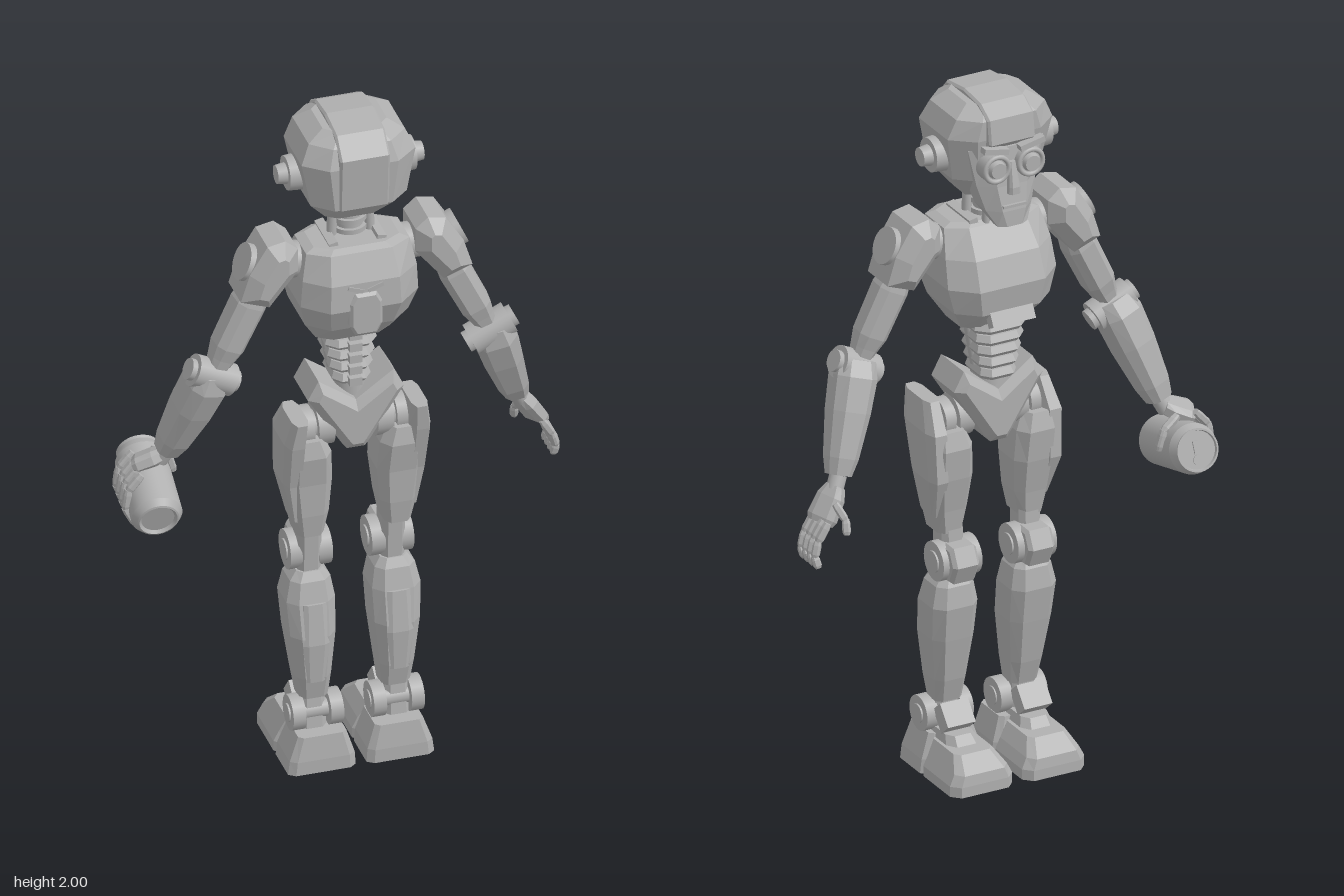
import * as THREE from 'three';

const metal = new THREE.MeshStandardMaterial({ color: 0xb0b0b0 });
metal.name = 'plain grey';
const V = (x, y, z) => new THREE.Vector3(x, y, z);
const UP = V(0, 1, 0);

function add(parent, name, geo) {
  const m = new THREE.Mesh(geo, metal);
  m.name = name;
  parent.add(m);
  return m;
}
function flat(geo) {
  const g = geo.index ? geo.toNonIndexed() : geo;
  g.computeVertexNormals();
  return g;
}
// Chamfered-box cross-sections [y, x0, x1, z0, z1], listed from low to high
function loft(sections, c = 0.4) {
  const pos = [], idx = [], n = 8;
  for (const [y, x0, x1, z0, z1] of sections) {
    const a = c * (x1 - x0) / 2, b = c * (z1 - z0) / 2;
    for (const [x, z] of [[x1, z1 - b], [x1, z0 + b], [x1 - a, z0], [x0 + a, z0],
      [x0, z0 + b], [x0, z1 - b], [x0 + a, z1], [x1 - a, z1]]) pos.push(x, y, z);
  }
  const top = (sections.length - 1) * n;
  for (let k = 0; k < top; k += n) for (let i = 0; i < n; i++) {
    const j = (i + 1) % n;
    idx.push(k + i, k + j, k + n + j, k + i, k + n + j, k + n + i);
  }
  for (let i = 1; i < n - 1; i++) idx.push(0, i + 1, i, top, top + i, top + i + 1);
  const g = new THREE.BufferGeometry();
  g.setAttribute('position', new THREE.Float32BufferAttribute(pos, 3));
  g.setIndex(idx);
  return flat(g);
}
const sym = rows => rows.map(([y, w, z0, z1]) => [y, -w, w, z0, z1]);
function aim(mesh, a, b) {
  mesh.quaternion.setFromUnitVectors(UP, b.clone().sub(a).normalize());
  mesh.position.copy(a);
  return mesh;
}
// Tapered limb from a to b; rows are [fraction, half width, half depth]
function limb(p, name, a, b, rows, c = 0.45) {
  const L = a.distanceTo(b);
  return aim(add(p, name, loft(rows.map(([t, w, d]) => [t * L, -w, w, -d, d]), c)), a, b);
}
function rod(p, name, a, b, r, r2 = r, sides = 24) {
  const L = a.distanceTo(b);
  return aim(add(p, name, new THREE.CylinderGeometry(r2, r, L, sides).translate(0, L / 2, 0)), a, b);
}
function box(p, name, x, y, z, w, h, d, rx = 0, rz = 0) {
  const m = add(p, name, new THREE.BoxGeometry(w, h, d));
  m.position.set(x, y, z);
  m.rotation.set(rx, 0, rz);
  return m;
}
// Outline extruded between z0 and z1 with a bevel
function plate(points, z0, z1, bevel) {
  const s = new THREE.Shape(points.map(p => new THREE.Vector2(...p)));
  const g = new THREE.ExtrudeGeometry(s, { depth: z1 - z0 - 2 * bevel, bevelEnabled: true,
    bevelThickness: bevel, bevelSize: bevel, bevelOffset: -bevel, bevelSegments: 1 });
  return flat(g.translate(0, 0, z0 + bevel));
}
// Baked mirror image across x, with the winding put right
function mirror(group, name) {
  const out = new THREE.Group();
  out.name = name;
  group.updateMatrixWorld(true);
  group.traverse(o => {
    if (!o.isMesh) return;
    const g = o.geometry.index ? o.geometry.toNonIndexed() : o.geometry.clone();
    g.applyMatrix4(new THREE.Matrix4().makeScale(-1, 1, 1).multiply(o.matrixWorld));
    for (const at of Object.values(g.attributes)) {
      const a = at.array, n = at.itemSize;
      for (let i = 0; i < a.length; i += 3 * n)
        for (let k = 0; k < n; k++) [a[i + n + k], a[i + 2 * n + k]] = [a[i + 2 * n + k], a[i + n + k]];
    }
    add(out, o.name, g);
  });
  return out;
}
function finger(p, name, pts, r = 0.011) {
  for (let i = 0; i + 1 < pts.length; i++)
    limb(p, name, V(...pts[i]), V(...pts[i + 1]), [[-0.08, r * 0.8, r * 0.8], [0.2, r, r], [0.8, r, r], [1.05, r * 0.7, r * 0.7]]);
}

function buildHead() {
  const h = new THREE.Group();
  h.name = 'head';
  add(h, 'helmet', loft(sym([[1.7, 0.08, 0, 0.11], [1.77, 0.135, -0.055, 0.18], [1.9, 0.16, -0.08, 0.185],
    [1.955, 0.135, -0.08, 0.165], [1.985, 0.09, -0.04, 0.13]])));
  const crest = plate([[0.185, 1.77], [0.195, 1.93], [0.145, 1.985], [0.05, 2], [-0.04, 1.99], [-0.09, 1.96],
    [-0.1, 1.89], [0, 1.8], [0.1, 1.72]], -0.07, 0.07, 0.006);
  add(h, 'crest', crest.rotateY(-Math.PI / 2));
  add(h, 'face', loft(sym([[1.645, 0.045, -0.11, -0.06], [1.69, 0.07, -0.108, 0.02], [1.76, 0.09, -0.095, 0.04],
    [1.87, 0.115, -0.085, 0.02]]), 0.5));
  add(h, 'nose', loft(sym([[1.74, 0.018, -0.118, -0.08], [1.76, 0.016, -0.118, -0.08], [1.83, 0.009, -0.1, -0.08]])));
  box(h, 'mouth', 0, 1.705, -0.109, 0.07, 0.008, 0.008);
  for (const s of [-1, 1]) {
    rod(h, 'eyeSocket', V(s * 0.052, 1.82, -0.06), V(s * 0.052, 1.82, -0.105), 0.042);
    rod(h, 'eyeLens', V(s * 0.052, 1.82, -0.1), V(s * 0.052, 1.82, -0.118), 0.028, 0.022);
    add(h, 'eyeRim', new THREE.TorusGeometry(0.036, 0.007, 8, 24)).position.set(s * 0.052, 1.82, -0.105);
    box(h, 'brow', s * 0.055, 1.875, -0.1, 0.075, 0.016, 0.025, 0, s * 0.2);
    rod(h, 'earDisc', V(s * 0.125, 1.83, 0.045), V(s * 0.178, 1.83, 0.045), 0.052, 0.048);
    rod(h, 'earKnob', V(s * 0.175, 1.83, 0.045), V(s * 0.205, 1.83, 0.045), 0.03, 0.026);
    rod(h, 'neckPiston', V(s * 0.055, 1.58, 0.06), V(s * 0.05, 1.73, 0.06), 0.014, 0.014, 12);
    rod(h, 'neckCable', V(s * 0.03, 1.58, 0), V(s * 0.03, 1.72, -0.01), 0.011, 0.011, 12);
  }
  rod(h, 'neck', V(0, 1.58, 0.045), V(0, 1.73, 0.045), 0.038);
  for (const y of [1.63, 1.66, 1.69]) rod(h, 'neckRing', V(0, y, 0.045), V(0, y + 0.014, 0.045), 0.048);
  return h;
}

function buildTorso() {
  const t = new THREE.Group();
  t.name = 'torso';
  add(t, 'chest', loft(sym([[1.32, 0.105, -0.03, 0.11], [1.385, 0.145, -0.09, 0.165], [1.46, 0.165, -0.1, 0.2],
    [1.54, 0.16, -0.07, 0.195], [1.615, 0.145, -0.015, 0.16], [1.625, 0.12, 0.0, 0.14]])));
  add(t, 'backPlate', plate([[-0.03, 1.38], [0.03, 1.38], [0.046, 1.41], [0.046, 1.48], [0.03, 1.51],
    [-0.03, 1.51], [-0.046, 1.48], [-0.046, 1.41]], 0.17, 0.206, 0.008));
  for (const s of [-1, 1]) {
    box(t, 'backRib', s * 0.028, 1.522, 0.193, 0.045, 0.012, 0.012, 0, s * 0.35);
    box(t, 'collar', s * 0.065, 1.615, 0.06, 0.025, 0.04, 0.13, 0, -s * 0.2);
    rod(t, 'waistPiston', V(s * 0.045, 1.19, 0.03), V(s * 0.07, 1.35, 0.03), 0.013, 0.016, 12);
  }
  box(t, 'breastPlate', 0, 1.37, -0.085, 0.13, 0.05, 0.03, 0.5);
  for (let i = 0; i < 5; i++) {
    const w = 0.048 + 0.006 * i, y = 1.16 + 0.036 * i;
    add(t, 'waistSegment', loft(sym([[y, w, -0.035 - i * 0.004, 0.085], [y + 0.012, w + 0.007, -0.045 - i * 0.004, 0.095],
      [y + 0.03, w, -0.035 - i * 0.004, 0.085]])));
    box(t, 'vertebra', 0, y + 0.015, 0.098, 0.035, 0.024, 0.025);
  }
  add(t, 'pelvis', plate([[0, 1.12], [0.105, 1.195], [0.135, 1.14], [0.04, 0.99], [0.025, 0.97],
    [-0.025, 0.97], [-0.04, 0.99], [-0.135, 1.14], [-0.105, 1.195]], -0.04, 0.13, 0.022));
  rod(t, 'waistPivot', V(0, 1.07, 0.045), V(0, 1.18, 0.045), 0.045);
  return t;
}

function buildLeg() {
  const l = new THREE.Group();
  l.name = 'leftLeg';
  rod(l, 'hipAxle', V(0.02, 1.035, 0.06), V(0.17, 1.035, 0.06), 0.04);
  rod(l, 'hipDisc', V(0.06, 1.035, 0.06), V(0.105, 1.035, 0.06), 0.06);
  rod(l, 'hipDisc', V(0.115, 1.035, 0.06), V(0.145, 1.035, 0.06), 0.056);
  add(l, 'thigh', loft([[0.71, 0.085, 0.16, 0.01, 0.11], [0.78, 0.072, 0.175, 0, 0.12], [0.88, 0.063, 0.19, -0.02, 0.125],
    [0.97, 0.068, 0.19, -0.03, 0.14], [1.02, 0.09, 0.18, -0.015, 0.13]]));
  add(l, 'thighArmor', loft([[0.76, 0.15, 0.175, 0.02, 0.105], [0.88, 0.145, 0.2, -0.025, 0.12],
    [1.02, 0.145, 0.205, -0.02, 0.155], [1.1, 0.145, 0.19, 0.03, 0.168]]));
  // Knee with its discs and front cap
  add(l, 'kneeBlock', loft([[0.57, 0.085, 0.15, 0, 0.08], [0.74, 0.085, 0.15, 0.01, 0.09]]));
  for (const x of [0.055, 0.135]) {
    rod(l, 'kneeDisc', V(x, 0.63, 0.025), V(x + 0.038, 0.63, 0.025), 0.056);
    rod(l, 'kneeHub', V(x - 0.005, 0.63, 0.025), V(x + 0.043, 0.63, 0.025), 0.03);
  }
  const cap = plate([[0.02, 0.575], [0.03, 0.685], [-0.035, 0.685], [-0.06, 0.635], [-0.035, 0.58]], -0.155, -0.075, 0.01);
  add(l, 'kneeCap', cap.rotateY(-Math.PI / 2));
  add(l, 'shin', loft([[0.2, 0.075, 0.155, 0.035, 0.11], [0.27, 0.068, 0.165, 0.015, 0.125], [0.4, 0.055, 0.182, -0.01, 0.13],
    [0.5, 0.052, 0.188, -0.025, 0.115], [0.56, 0.062, 0.175, -0.015, 0.1], [0.585, 0.08, 0.155, 0, 0.085]]));
  add(l, 'calfPlate', loft([[0.26, 0.09, 0.145, 0.1, 0.128], [0.38, 0.08, 0.155, 0.1, 0.137], [0.5, 0.085, 0.15, 0.09, 0.122]]));
  // Ankle and foot
  add(l, 'ankleBlock', loft([[0.08, 0.08, 0.155, 0.04, 0.12], [0.22, 0.085, 0.15, 0.045, 0.105]]));
  for (const x of [0.042, 0.148]) rod(l, 'ankleDisc', V(x, 0.155, 0.09), V(x + 0.036, 0.155, 0.09), 0.05);
  rod(l, 'ankleAxle', V(0.038, 0.155, 0.09), V(0.189, 0.155, 0.09), 0.026);
  box(l, 'instepGuard', 0.117, 0.165, 0.012, 0.085, 0.07, 0.05, 0.7);
  add(l, 'heel', loft([[0, 0.015, 0.205, 0.03, 0.168], [0.04, 0.018, 0.2, 0.03, 0.168], [0.11, 0.04, 0.175, 0.04, 0.16]], 0.2));
  add(l, 'toe', loft([[0, 0.015, 0.205, -0.147, 0.05], [0.03, 0.015, 0.205, -0.147, 0.05], [0.06, 0.03, 0.19, -0.143, 0.05],
    [0.1, 0.055, 0.17, -0.095, 0.05]], 0.25));
  add(l, 'instep', loft([[0.06, 0.05, 0.17, -0.08, 0.1], [0.125, 0.075, 0.155, -0.03, 0.09]]));
  return l;
}

function buildArm() {
  const a = new THREE.Group();
  a.name = 'leftArm';
  const elbow = V(0.39, 1.245, 0.065), wrist = V(0.49, 0.98, -0.02), across = V(0.9, 0.43, 0);
  rod(a, 'shoulderAxle', V(0.11, 1.565, 0.06), V(0.24, 1.565, 0.06), 0.05);
  add(a, 'shoulderPad', plate([[0.165, 1.56], [0.165, 1.63], [0.2, 1.66], [0.25, 1.65], [0.3, 1.57],
    [0.325, 1.49], [0.245, 1.46]], -0.03, 0.15, 0.035));
  rod(a, 'shoulderDisc', V(0.25, 1.56, 0.06), V(0.305, 1.585, 0.06), 0.052);
  limb(a, 'upperArm', V(0.265, 1.5, 0.06), V(0.375, 1.275, 0.065),
    [[0, 0.035, 0.04], [0.2, 0.044, 0.046], [0.75, 0.042, 0.043], [0.9, 0.034, 0.034], [1.05, 0.026, 0.028]]);
  for (const [n, h, r] of [['elbowPivot', 0.075, 0.03], ['elbowDisc', 0.06, 0.045]])
    rod(a, n, elbow.clone().addScaledVector(across, -h), elbow.clone().addScaledVector(across, h), r);
  limb(a, 'forearm', elbow.clone().add(V(0, 0.02, 0)), wrist,
    [[0, 0.045, 0.05], [0.15, 0.062, 0.058], [0.45, 0.06, 0.054], [0.85, 0.046, 0.042], [1, 0.034, 0.032]]);
  rod(a, 'wrist', wrist, V(0.507, 0.945, -0.03), 0.024);
  return a;
}

function buildHands() {
  const g = new THREE.Group();
  g.name = 'hands';
  const palm = [[0, 0.02, 0.025], [0.3, 0.022, 0.038], [0.85, 0.02, 0.042], [1, 0.014, 0.036]];
  limb(g, 'leftPalm', V(0.503, 0.955, -0.03), V(0.56, 0.865, -0.045), palm);
  for (let i = 0; i < 4; i++) {
    const z = -0.01 - 0.025 * i;
    finger(g, 'leftFinger', [[0.56, 0.875, z], [0.588, 0.83, z], [0.6, 0.79, z - 0.005], [0.594, 0.762, z - 0.012]]);
  }
  finger(g, 'leftThumb', [[0.525, 0.92, -0.07], [0.508, 0.88, -0.095], [0.512, 0.845, -0.108]]);
  // Gripping hand wrapped around the can
  limb(g, 'rightPalm', V(-0.5, 0.96, -0.03), V(-0.575, 0.93, -0.05), palm);
  for (let i = 0; i < 4; i++) {
    const z = 0.0 - 0.027 * i, y = 0.008 * i;
    finger(g, 'rightFinger', [[-0.57, 0.92 + y, z], [-0.605, 0.88 + y, z], [-0.612, 0.825 + y, z], [-0.585, 0.775 + y, z]]);
  }
  finger(g, 'rightThumb', [[-0.51, 0.945, -0.08], [-0.465, 0.915, -0.09], [-0.45, 0.865, -0.09]]);
  return g;
}

function buildCan() {
  const c = new THREE.Group();
  c.name = 'can';
  const profile = [[0, 0.008], [0.045, 0.008], [0.052, 0], [0.057, 0.002], [0.07, 0.02], [0.07, 0.225], [0.058, 0.25],
    [0.06, 0.258], [0.055, 0.258], [0.053, 0.25], [0, 0.25]];
  // Repeated points keep the rims crisp
  const pts = profile.flatMap(p => [new THREE.Vector2(...p), new THREE.Vector2(...p)]).slice(1, -1);
  add(c, 'canBody', new THREE.LatheGeometry(pts, 40));
  box(c, 'canTab', 0, 0.253, 0.008, 0.018, 0.005, 0.036);
  rod(c, 'canOpening', V(0, 0.249, -0.028), V(0, 0.253, -0.028), 0.016);
  return aim(c, V(-0.54, 0.812, 0.065), V(-0.52, 0.885, -0.18));
}

export function createModel() {
  const robot = new THREE.Group();
  robot.name = 'robot';
  const leg = buildLeg(), arm = buildArm();
  robot.add(buildHead(), buildTorso(), leg, mirror(leg, 'rightLeg'), arm, mirror(arm, 'rightArm'), buildHands(), buildCan());
  return robot;
}
